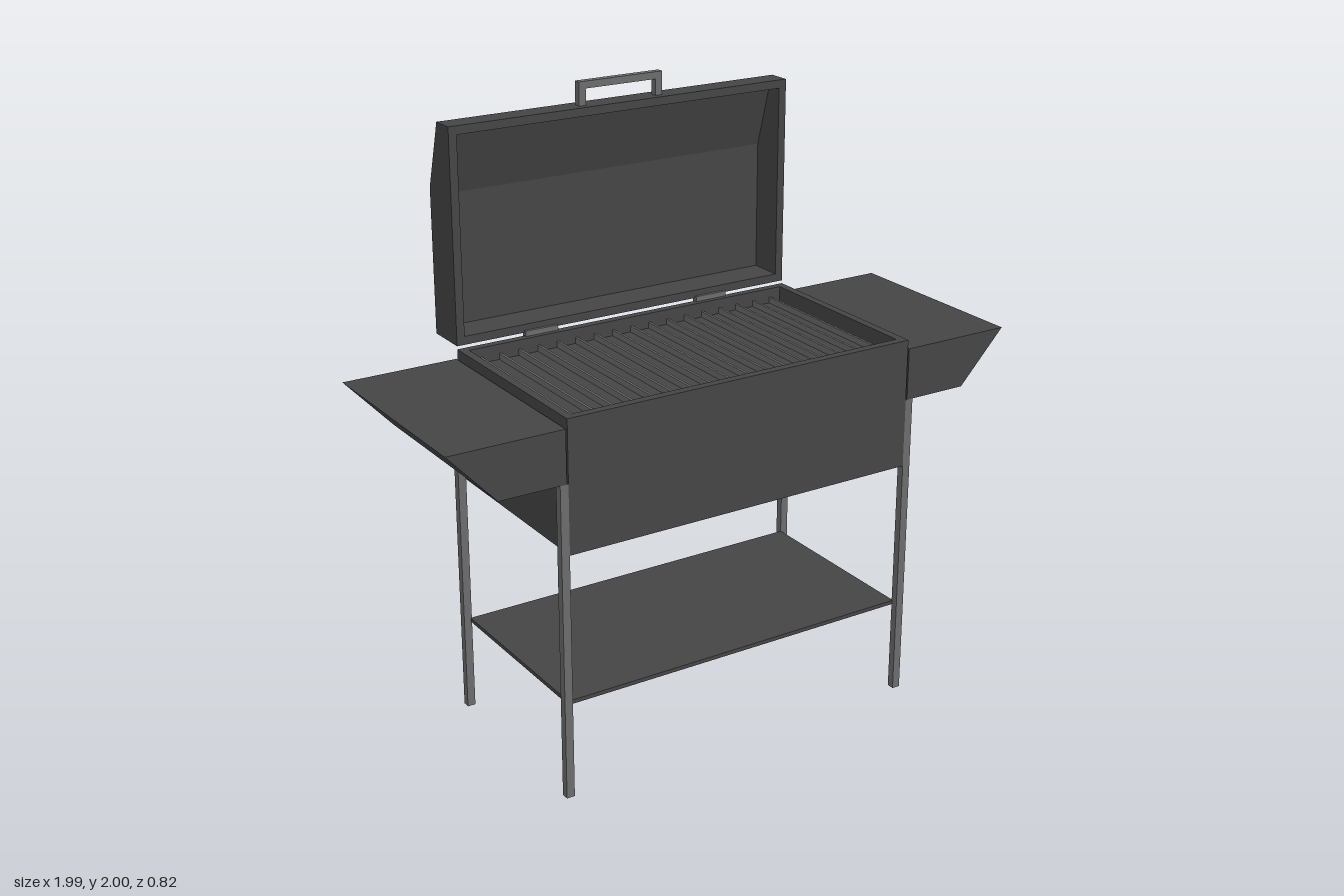
import * as THREE from 'three';

const charcoal = new THREE.MeshStandardMaterial({ color: 0x454545 });
charcoal.name = 'charcoal steel';
const grey = new THREE.MeshStandardMaterial({ color: 0x6c6c6c });
grey.name = 'grey steel';

const HALF = 0.61, BACK = -0.268, FRONT = 0.41, WALL = 0.027;

function add(parent, name, geometry, material) {
  const mesh = new THREE.Mesh(geometry, material);
  mesh.name = name;
  parent.add(mesh);
  return mesh;
}

// Box given by its lower and upper limits on each axis
function block(parent, name, [x0, x1], [y0, y1], [z0, z1], material) {
  const g = new THREE.BoxGeometry(x1 - x0, y1 - y0, z1 - z0);
  g.translate((x0 + x1) / 2, (y0 + y1) / 2, (z0 + z1) / 2);
  return add(parent, name, g, material);
}

function outline(points) {
  return new THREE.Shape(points.map(([a, b]) => new THREE.Vector2(a, b)));
}

function extrude(shape, depth) {
  return new THREE.ExtrudeGeometry(shape, { depth, bevelEnabled: false });
}

// Extrude a (z, y) profile along x, from x0 to x1
function alongX(profile, x0, x1) {
  return extrude(outline(profile.map(([z, y]) => [-z, y])), x1 - x0)
    .rotateY(Math.PI / 2).translate(x0, 0, 0);
}

function buildFirebox() {
  const group = new THREE.Group();
  group.name = 'firebox';
  const walls = [[-HALF, HALF], [0.805, 1.23]];
  block(group, 'frontWall', ...walls, [FRONT - WALL, FRONT], charcoal);
  block(group, 'backWall', ...walls, [BACK, BACK + WALL], charcoal);
  for (const s of [-1, 1]) {
    const x = [s * HALF, s * (HALF - WALL)].sort((a, b) => a - b);
    block(group, 'endWall', x, [0.805, 1.23], [BACK + WALL, FRONT - WALL], charcoal);
  }
  const inner = [-HALF + WALL, HALF - WALL], depth = [BACK + WALL, FRONT - WALL];
  block(group, 'floor', inner, [0.805, 0.83], depth, charcoal);
  // Cooking surface with raised rods
  block(group, 'grillPlate', inner, [1.165, 1.18], depth, charcoal);
  for (let i = -8; i <= 8; i++) {
    const x = i * 0.068;
    block(group, 'grillRod', [x - 0.004, x + 0.004], [1.18, 1.2], depth, grey);
  }
  return group;
}

function buildLid() {
  const group = new THREE.Group();
  group.name = 'lid';
  const outer = [[BACK, 1.24], [-0.41, 1.24], [-0.41, 1.71], [-0.345, 1.925], [BACK, 1.925]];
  const inner = [[BACK, 1.898], [-0.322, 1.898], [-0.383, 1.69], [-0.383, 1.267], [BACK, 1.267]];
  add(group, 'lidShell', alongX([...outer, ...inner], -HALF + WALL, HALF - WALL), charcoal);
  add(group, 'lidEnd', alongX(outer, -HALF, -HALF + WALL), charcoal);
  add(group, 'lidEnd', alongX(outer, HALF - WALL, HALF), charcoal);
  // Handle: one bar on two posts
  const z = [-0.317, -0.293];
  block(group, 'handleBar', [-0.15, 0.15], [1.977, 2], z, grey);
  block(group, 'handlePost', [-0.15, -0.126], [1.925, 1.977], z, grey);
  block(group, 'handlePost', [0.126, 0.15], [1.925, 1.977], z, grey);
  return group;
}

// Tapered shelf, leg pair and hinge for one side (s = 1 or -1)
function buildSide(s) {
  const group = new THREE.Group();
  group.name = s > 0 ? 'leftSide' : 'rightSide';
  const profile = [[0.615, 1.03], [0.835, 1.03], [0.993, 1.2], [0.615, 1.2]];
  const shelf = extrude(outline(profile.map(([x, y]) => [s * x, y])), FRONT - BACK);
  add(group, 'sideShelf', shelf.translate(0, 0, BACK), charcoal);
  const span = (a, b) => (s > 0 ? [a, b] : [-b, -a]);
  block(group, 'frontLeg', span(HALF, 0.637), [0, 1.03], [FRONT - 0.025, FRONT], grey);
  block(group, 'backLeg', span(HALF, 0.637), [0, 1.03], [BACK, BACK + 0.025], grey);
  block(group, 'hinge', span(0.26, 0.375), [1.222, 1.247], [-0.279, -0.258], grey);
  return group;
}

export function createModel() {
  const model = new THREE.Group();
  model.name = 'barbecueGrill';
  model.add(buildFirebox(), buildLid(), buildSide(1), buildSide(-1));
  block(model, 'lowerShelf', [-HALF - 0.003, HALF + 0.003], [0.304, 0.317], [BACK + 0.022, FRONT - 0.022], charcoal);
  return model;
}
